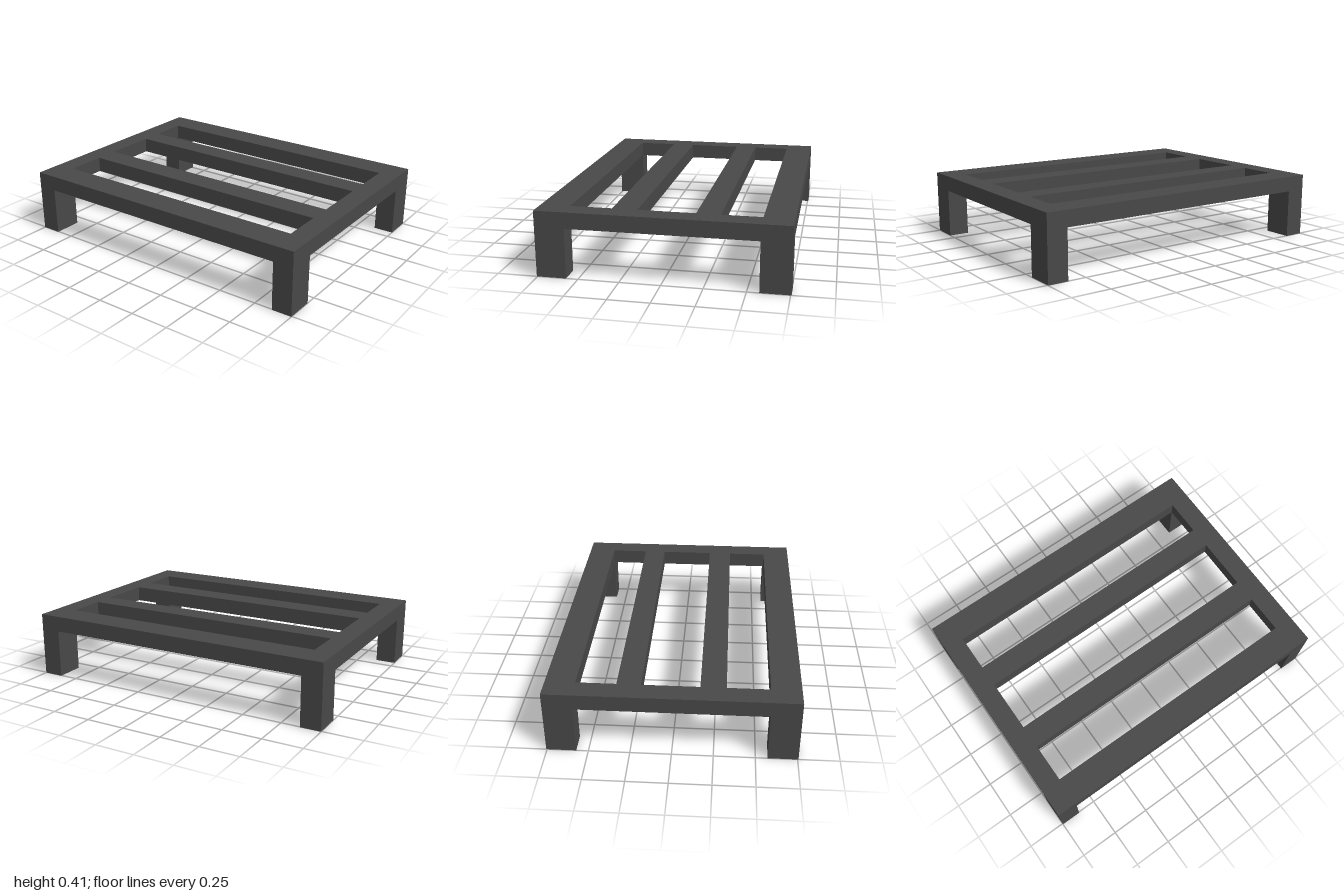
import * as THREE from 'three';

const HEIGHT = 0.41, SLAB = 0.1, HALF_X = 1, HALF_Z = 0.755;
const INNER_X = 0.87, INNER_Z = 0.573;

// Traces a rectangle on a Shape or Path
function rect(path, x0, z0, x1, z1) {
  path.moveTo(x0, z0);
  path.lineTo(x1, z0);
  path.lineTo(x1, z1);
  path.lineTo(x0, z1);
  path.closePath();
  return path;
}

export function createModel() {
  const group = new THREE.Group();
  group.name = 'lowSlattedPlatform';
  const charcoal = new THREE.MeshStandardMaterial({ color: 0x484848 });
  charcoal.name = 'charcoal';

  // Slatted top: one slab with three long openings
  const outline = rect(new THREE.Shape(), -HALF_X, -HALF_Z, HALF_X, HALF_Z);
  for (const [z0, z1] of [[-INNER_Z, -0.33], [-0.185, 0.163], [0.317, INNER_Z]]) {
    outline.holes.push(rect(new THREE.Path(), -INNER_X, z0, INNER_X, z1));
  }
  const topGeometry = new THREE.ExtrudeGeometry(outline, { depth: SLAB, bevelEnabled: false });
  topGeometry.rotateX(Math.PI / 2);
  const top = new THREE.Mesh(topGeometry, charcoal);
  top.name = 'slattedTop';
  top.position.y = HEIGHT;
  group.add(top);

  // Four corner legs
  const legHeight = HEIGHT - SLAB;
  const legGeometry = new THREE.BoxGeometry(HALF_X - INNER_X, legHeight, HALF_Z - INNER_Z);
  for (const [endName, sz] of [['front', 1], ['back', -1]]) {
    for (const [sideName, sx] of [['Left', 1], ['Right', -1]]) {
      const leg = new THREE.Mesh(legGeometry, charcoal);
      leg.name = `${endName}${sideName}Leg`;
      leg.position.set(sx * (HALF_X + INNER_X) / 2, legHeight / 2, sz * (HALF_Z + INNER_Z) / 2);
      group.add(leg);
    }
  }
  return group;
}
